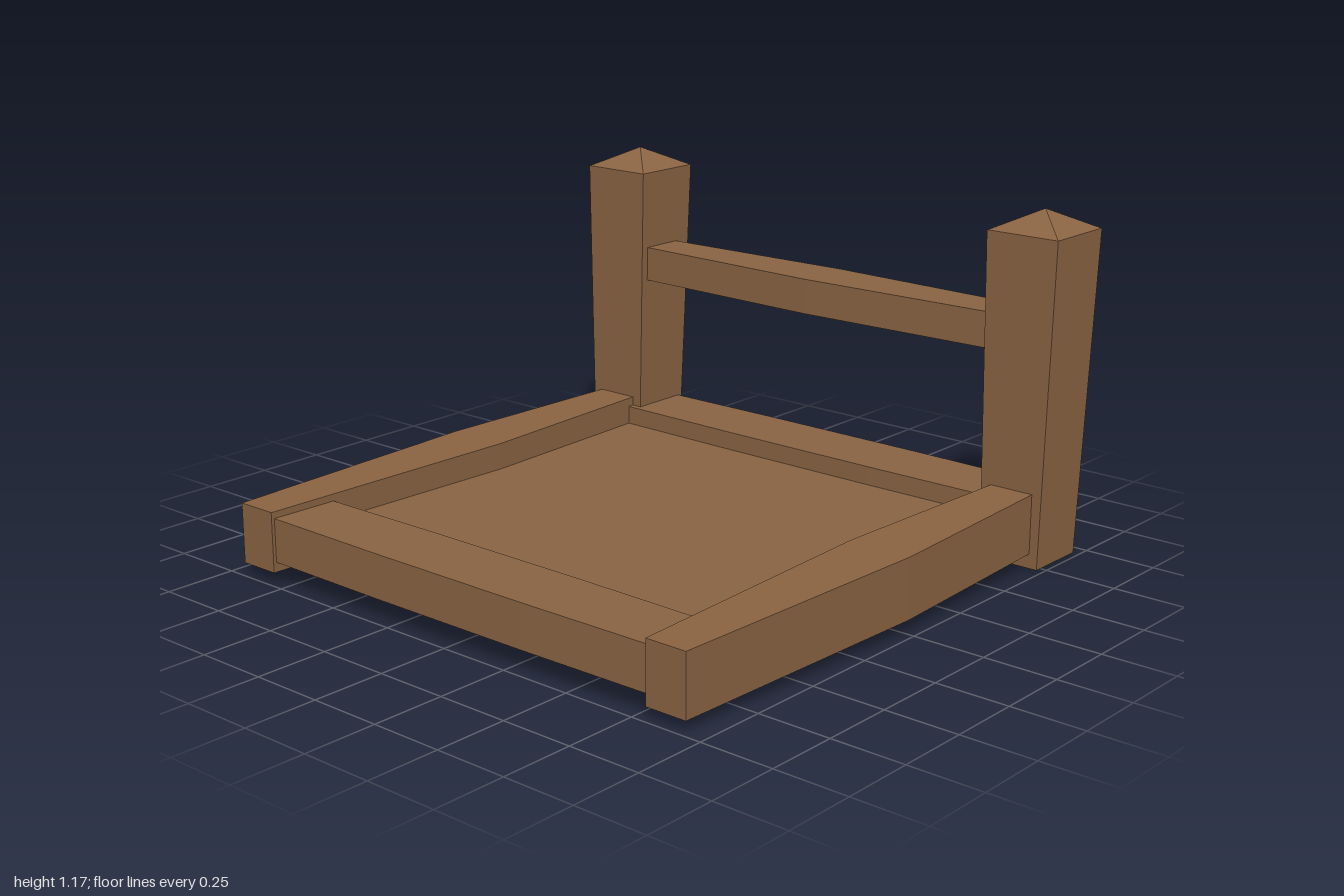
import * as THREE from 'three';

const wood = new THREE.MeshStandardMaterial({ color: 0x8a6443, flatShading: true });
wood.name = 'brown wood';

// Box whose corners are moved by a rule
function shaped(name, size, segments, rule) {
  const geo = new THREE.BoxGeometry(...size, ...segments);
  const pos = geo.attributes.position;
  const v = new THREE.Vector3();
  for (let i = 0; i < pos.count; i++) {
    v.fromBufferAttribute(pos, i);
    if (rule) rule(v);
    pos.setXYZ(i, v.x, v.y, v.z);
  }
  geo.computeVertexNormals();
  const mesh = new THREE.Mesh(geo, wood);
  mesh.name = name;
  return mesh;
}

// Cross rail along x, swelling in depth towards the middle
function crossRail(name, length, y0, y1, z0, z1, segments, bulge) {
  const mesh = shaped(name, [length, y1 - y0, z1 - z0], [segments, 1, 1], (v) => {
    if (Math.abs(v.x) < length / 2 - 0.01) v.z += Math.sign(v.z) * bulge;
  });
  mesh.position.set(0, (y0 + y1) / 2, (z0 + z1) / 2);
  return mesh;
}

// Tapered corner post with a pyramid cap
function post(side, label) {
  const group = new THREE.Group();
  group.name = label + 'Post';
  const shaft = shaped('shaft', [1, 1.1, 1], [1, 1, 1], (v) => {
    const top = v.y > 0;
    v.x = side * 0.866 + Math.sign(v.x) * (top ? 0.132 : 0.11);
    v.z = v.z > 0 ? -0.726 : (top ? -0.99 : -0.953);
    v.y += 0.55;
  });
  const capGeo = new THREE.ConeGeometry(0.132 * Math.SQRT2, 0.068, 4, 1, true).rotateY(Math.PI / 4);
  const cap = new THREE.Mesh(capGeo, wood);
  cap.name = 'cap';
  cap.position.set(side * 0.866, 1.133, -0.858);
  group.add(shaft, cap);
  return group;
}

// Side rail, widest at the middle and rising slightly to the back
function sideRail(side, label) {
  return shaped(label + 'SideRail', [1, 0.204, 2], [1, 1, 2], (v) => {
    const middle = Math.abs(v.z) < 0.1;
    v.x = side * 0.867 + Math.sign(v.x) * (middle ? 0.112 : 0.073);
    v.z = middle ? 0 : (v.z > 0 ? 0.99 : -0.85);
    v.y += 0.148 - v.z * 0.0055;
  });
}

export function createModel() {
  const model = new THREE.Group();
  model.name = 'bedFrame';

  for (const [side, label] of [[1, 'left'], [-1, 'right']]) {
    model.add(post(side, label), sideRail(side, label));
  }

  // Rails across the frame
  model.add(crossRail('frontRail', 1.86, 0.074, 0.222, 0.742, 0.977, 3, 0.008));
  model.add(crossRail('backRail', 1.86, 0.074, 0.222, -0.938, -0.704, 3, 0.008));
  model.add(crossRail('headRail', 1.6, 0.702, 0.824, -0.91, -0.757, 2, 0.027));

  // Bed base and underside board
  const base = shaped('bedBase', [1.62, 0.015, 1.62], [1, 1, 1]);
  base.position.set(0, 0.15, 0.02);
  const board = shaped('undersideBoard', [1.65, 0.012, 1.78], [1, 1, 1]);
  board.position.set(0, 0.062, 0.02);
  model.add(base, board);
  return model;
}
